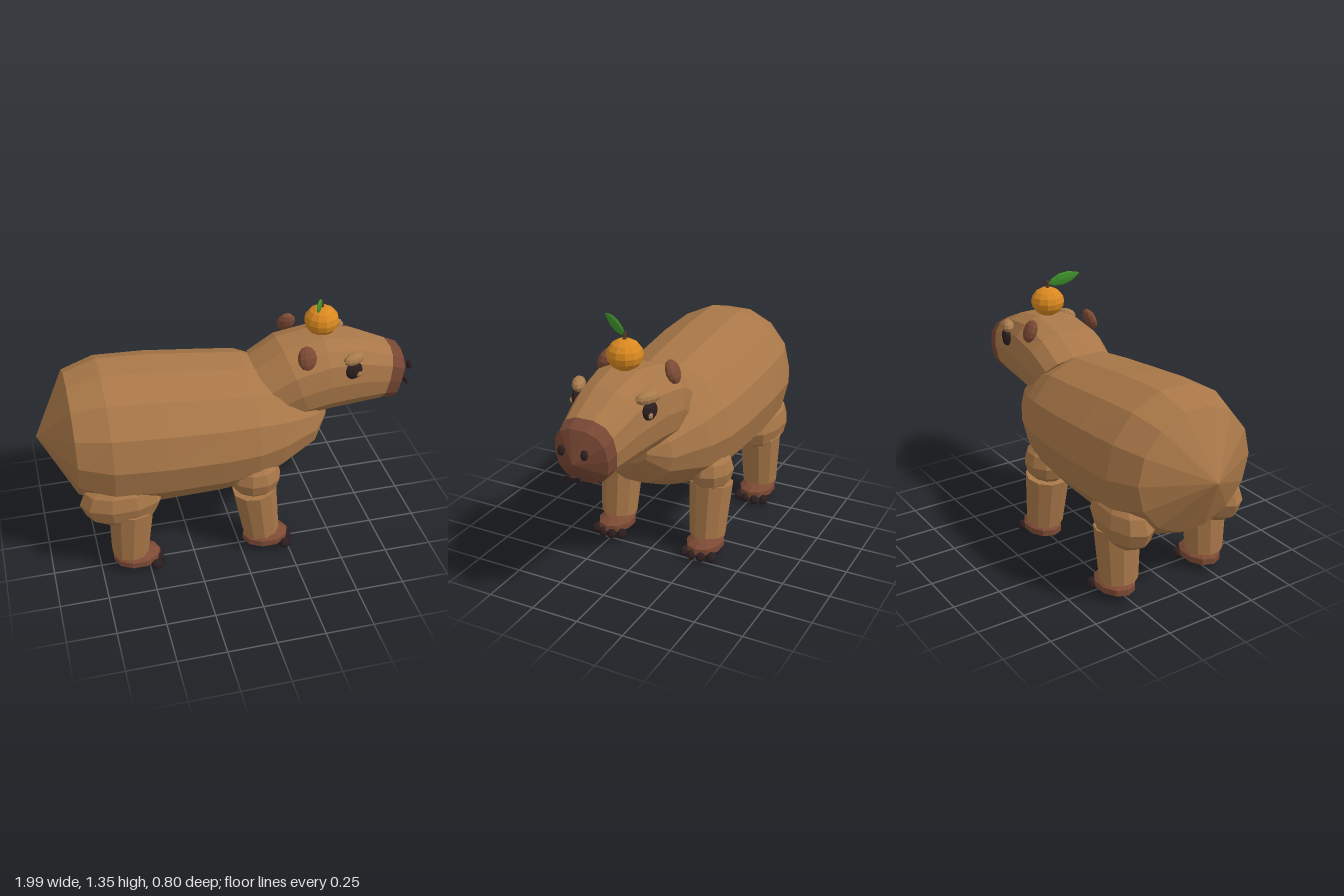
import * as THREE from 'three';

const mat = (name, color) => {
  const m = new THREE.MeshStandardMaterial({ color });
  m.name = name;
  return m;
};

// Faceted normals for the low-poly look
function facet(geo) {
  const g = geo.index ? geo.toNonIndexed() : geo;
  g.computeVertexNormals();
  return g;
}

// Skin over oval sections; each is [topX, topY, bottomX, bottomY, halfWidth]
function loft(sections, square = 1, sides = 14) {
  const pos = [], index = [];
  const pow = v => Math.sign(v) * Math.abs(v) ** square;
  const peak = Math.cos(Math.PI / sides) ** square;
  for (const [tx, ty, bx, by, w] of sections) {
    for (let j = 0; j < sides; j++) {
      const a = ((j + 0.5) / sides) * Math.PI * 2;
      const c = pow(Math.cos(a)) / peak / 2;
      pos.push((tx + bx) / 2 + c * (tx - bx), (ty + by) / 2 + c * (ty - by), w * pow(Math.sin(a)));
    }
  }
  for (let i = 0; i < sections.length - 1; i++) {
    for (let j = 0; j < sides; j++) {
      const k = (j + 1) % sides;
      const a = i * sides + j, b = i * sides + k, c = a + sides, d = b + sides;
      if (sections[i][4] > 0) index.push(a, b, c);
      if (sections[i + 1][4] > 0) index.push(b, d, c);
    }
  }
  const g = new THREE.BufferGeometry();
  g.setAttribute('position', new THREE.Float32BufferAttribute(pos, 3));
  g.setIndex(index);
  return facet(g);
}

export function createModel() {
  const model = new THREE.Group();
  const fur = mat('fur', 0xa87748);
  const muzzleBrown = mat('muzzle brown', 0x774733);
  const hoofBrown = mat('ear and foot brown', 0x7c4a34);
  const dark = mat('dark', 0x2c1e20);
  const lid = mat('eyelid tan', 0xa87c4c);
  const orange = mat('orange', 0xd98820);
  const green = mat('leaf green', 0x3f942c);
  const stemBrown = mat('stem brown', 0x5e3a24);

  const add = (name, geo, material, p = [0, 0, 0], r = [0, 0, 0], parent = model) => {
    const m = new THREE.Mesh(geo, material);
    m.name = name;
    m.position.set(...p);
    m.rotation.set(...r);
    parent.add(m);
    return m;
  };
  const ball = (rx, ry, rz, u = 10, v = 6) => facet(new THREE.SphereGeometry(1, u, v).scale(rx, ry, rz));

  // Barrel body with pointed rump and rounded chest
  const upright = (x, top, bottom, w) => [x, top, x, bottom, w];
  add('body', loft([
    upright(-1, 0.72, 0.72, 0),
    upright(-0.83, 1.03, 0.41, 0.325),
    upright(-0.66, 1.08, 0.325, 0.39),
    upright(-0.4, 1.065, 0.315, 0.4),
    upright(-0.1, 1.03, 0.32, 0.39),
    upright(0.08, 1.01, 0.335, 0.375),
    upright(0.22, 0.95, 0.39, 0.33),
    upright(0.42, 0.84, 0.49, 0.22),
    upright(0.5, 0.76, 0.63, 0.12),
    upright(0.5, 0.69, 0.69, 0),
  ]), fur);

  // Head and neck, ending where the muzzle starts
  const snout = [0.86, 1.005, 0.81, 0.705, 0.148];
  add('head', loft([
    [0.24, 0.85, 0.24, 0.85, 0],
    [0.12, 0.99, 0.37, 0.7, 0.22],
    [0.27, 1.08, 0.4, 0.705, 0.232],
    [0.48, 1.12, 0.5, 0.71, 0.22],
    [0.68, 1.085, 0.66, 0.705, 0.183],
    snout,
  ], 0.78), fur);
  add('muzzle', loft([
    snout,
    [0.925, 0.975, 0.88, 0.7, 0.14],
    [0.982, 0.83, 0.982, 0.83, 0],
  ], 0.78), muzzleBrown);

  // Mouth plate
  const lips = new THREE.Shape([
    [-0.05, 0.75], [-0.02, 0.745], [0.02, 0.745], [0.05, 0.75],
    [0.035, 0.773], [0, 0.762], [-0.035, 0.773],
  ].map(p => new THREE.Vector2(...p)));
  add('mouth', new THREE.ExtrudeGeometry(lips, { depth: 0.009, bevelEnabled: false }),
    dark, [0.976, 0, 0], [0, Math.PI / 2, 0]);

  // Paired face features
  for (const s of [1, -1]) {
    const side = s > 0 ? 'left' : 'right';
    add(side + 'Ear', ball(0.05, 0.062, 0.03), hoofBrown, [0.36, 1.09, s * 0.187], [-s * 0.4, 0, 0]);
    add(side + 'Eye', ball(0.048, 0.048, 0.024), dark, [0.61, 0.987, s * 0.196], [0, s * 0.2, 0]);
    add(side + 'EyeGlint', ball(0.016, 0.016, 0.01, 8, 5), lid, [0.632, 0.972, s * 0.212]);
    add(side + 'Eyelid', ball(0.067, 0.033, 0.034), lid, [0.61, 1.05, s * 0.185], [0, s * 0.45, 0]);
    add(side + 'Nostril', ball(0.017, 0.026, 0.018, 8, 6), dark, [0.972, 0.885, s * 0.06]);
  }

  // Legs: upper muscle, shank, foot and four toes
  const legs = [
    { name: 'front', top: 0.075, low: 0.115, foot: 0.14, hip: [0.08, 0.47], size: [0.135, 0.12, 0.115] },
    { name: 'rear', top: -0.577, low: -0.595, foot: -0.56, hip: [-0.62, 0.45], size: [0.215, 0.145, 0.12] },
  ];
  for (const L of legs) {
    for (const s of [1, -1]) {
      const leg = new THREE.Group();
      leg.name = L.name + (s > 0 ? 'Left' : 'Right') + 'Leg';
      leg.position.z = s * 0.266;
      model.add(leg);
      add('upperLeg', ball(...L.size), fur, [...L.hip, 0], [0, 0, 0], leg);
      add('shank', facet(new THREE.CylinderGeometry(0.116, 0.097, 0.29, 10)), fur,
        [(L.top + L.low) / 2, 0.25, 0], [0, 0, Math.atan((L.low - L.top) / 0.29)], leg);
      add('foot', ball(0.13, 0.052, 0.1, 10, 5), hoofBrown, [L.foot, 0.062, 0], [0, 0, 0], leg);
      for (let t = 0; t < 4; t++) {
        const z = (t - 1.5) * 0.051;
        add('toe', ball(0.032, 0.028, 0.025, 8, 6), dark,
          [L.foot + 0.118 - Math.abs(z) * 0.35, 0.034, z], [0, 0, 0], leg);
      }
    }
  }

  // Fruit balanced on the head, with stem and leaf
  add('fruit', ball(0.09, 0.078, 0.09, 12, 8), orange, [0.49, 1.19, 0]);
  add('stem', facet(new THREE.CylinderGeometry(0.008, 0.011, 0.05, 6)), stemBrown, [0.488, 1.278, 0], [0, 0, 0.15]);
  const blade = [[0, 0], [0.022, 0.03], [0.034, 0.075], [0.03, 0.12], [0.014, 0.16], [0, 0.18]]
    .map(p => new THREE.Vector2(...p));
  const leaf = add('leaf', facet(new THREE.LatheGeometry(blade, 8).scale(0.3, 1, 1)), green, [0.485, 1.285, 0]);
  const along = new THREE.Vector3(-0.075, 0.06, 0.15).normalize();
  const across = new THREE.Vector3().crossVectors(along, new THREE.Vector3(0, 1, 0)).normalize();
  leaf.quaternion.setFromRotationMatrix(
    new THREE.Matrix4().makeBasis(across, along, new THREE.Vector3().crossVectors(across, along)));

  return model;
}
